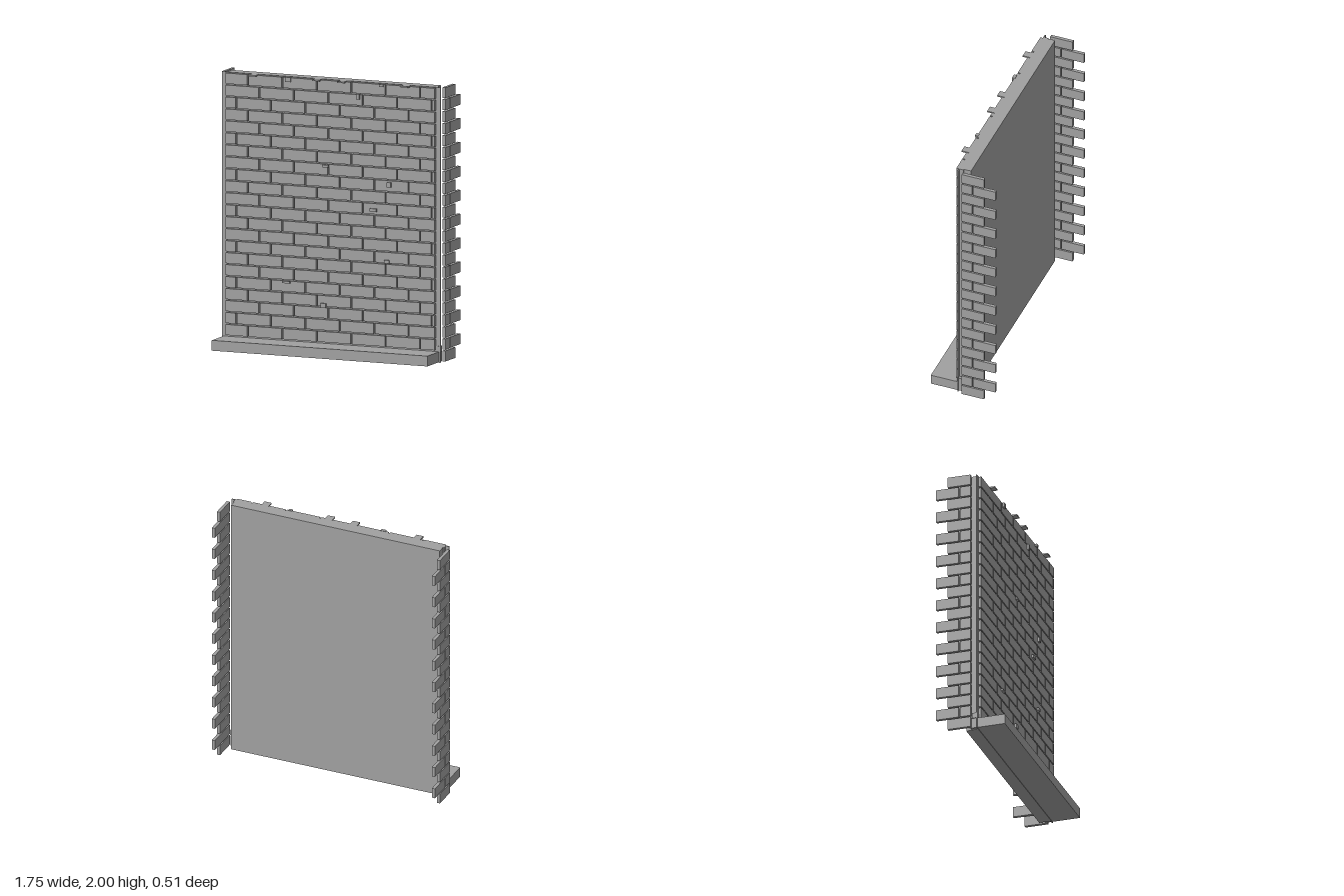
import * as THREE from 'three';

export function createModel() {
  const root = new THREE.Group();
  root.name = 'brickWall';
  const stone = new THREE.MeshStandardMaterial({ color: 0xa0a0a0 });
  stone.name = 'grey stone';

  // Box given by its minimum and maximum on each axis
  function block(name, x0, x1, y0, y1, z0, z1, parent = root) {
    const mesh = new THREE.Mesh(new THREE.BoxGeometry(x1 - x0, y1 - y0, z1 - z0), stone);
    mesh.position.set((x0 + x1) / 2, (y0 + y1) / 2, (z0 + z1) / 2);
    mesh.name = name;
    parent.add(mesh);
  }
  function group(name) {
    const g = new THREE.Group();
    g.name = name;
    root.add(g);
    return g;
  }

  // Backing slab and ground ledge
  block('wallSlab', -0.82, 0.82, 0, 2, -0.045, 0.047);
  block('baseLedge', -0.845, 0.845, 0.005, 0.08, -0.005, 0.255);

  const rows = 23, pitch = 2 / rows, gap = 0.005, length = 0.27;
  const half = 0.82;

  // Front courses, each stepped by a third of a brick
  const front = group('frontBricks');
  for (let i = 1; i < rows; i++) {
    const y0 = i * pitch + gap, y1 = (i + 1) * pitch - gap;
    const shift = ((rows - 1 - i) % 3) * length / 3;
    for (let x = -0.645 + shift - 2 * length; x < half; x += length) {
      const x0 = Math.max(x + gap, -half), x1 = Math.min(x + length - gap, half);
      if (x1 - x0 > 0.01) block('frontBrick', x0, x1, y0, y1, 0.04, 0.068, front);
    }
  }

  // Toothed side returns and corner strips, mirrored
  for (const s of [-1, 1]) {
    const side = group(s > 0 ? 'leftReturn' : 'rightReturn');
    const sided = (name, a, b, ...rest) =>
      block(name, Math.min(s * a, s * b), Math.max(s * a, s * b), ...rest, side);
    for (let i = 0; i < rows; i++) {
      const y0 = i * pitch + gap, y1 = (i + 1) * pitch - gap;
      if (i % 2) {
        sided('sideHalfBrick', 0.853, 0.877, y0, y1, -0.075, 0.005);
        sided('sideBrick', 0.853, 0.877, y0, y1, -0.255, -0.083);
      } else {
        sided('sideBrick', 0.853, 0.877, y0, y1, -0.167, 0.005);
      }
    }
    sided('cornerStrip', 0.82, 0.855, 0, 2, 0.04, 0.047);
    sided('cornerPost', 0.82, 0.828, 0, 2, 0.01, 0.04);
    sided('cornerFoot', 0.82, 0.852, 0.08, 0.12, 0.01, 0.05);
  }

  // Flat clips across the top edge
  const clips = group('topClips');
  for (const x of [-0.597, -0.098, 0.098, 0.597])
    block('topClip', x - 0.028, x + 0.028, 1.99, 2, -0.02, 0.105, clips);

  // Small raised chips on the brick faces: x0, x1, y0, y1
  const chips = group('brickChips');
  for (const c of [
    [-0.345, -0.305, 1.965, 1.998], [0.39, 0.42, 1.98, 1.998],
    [0.21, 0.235, 1.875, 1.915], [-0.055, -0.01, 1.365, 1.382],
    [0.45, 0.48, 1.253, 1.288], [0.315, 0.367, 1.067, 1.09],
    [0.43, 0.467, 0.7, 0.722], [-0.372, -0.312, 0.502, 0.516],
    [-0.07, -0.028, 0.343, 0.375],
  ]) block('chip', ...c, 0.06, 0.083, chips);

  return root;
}
